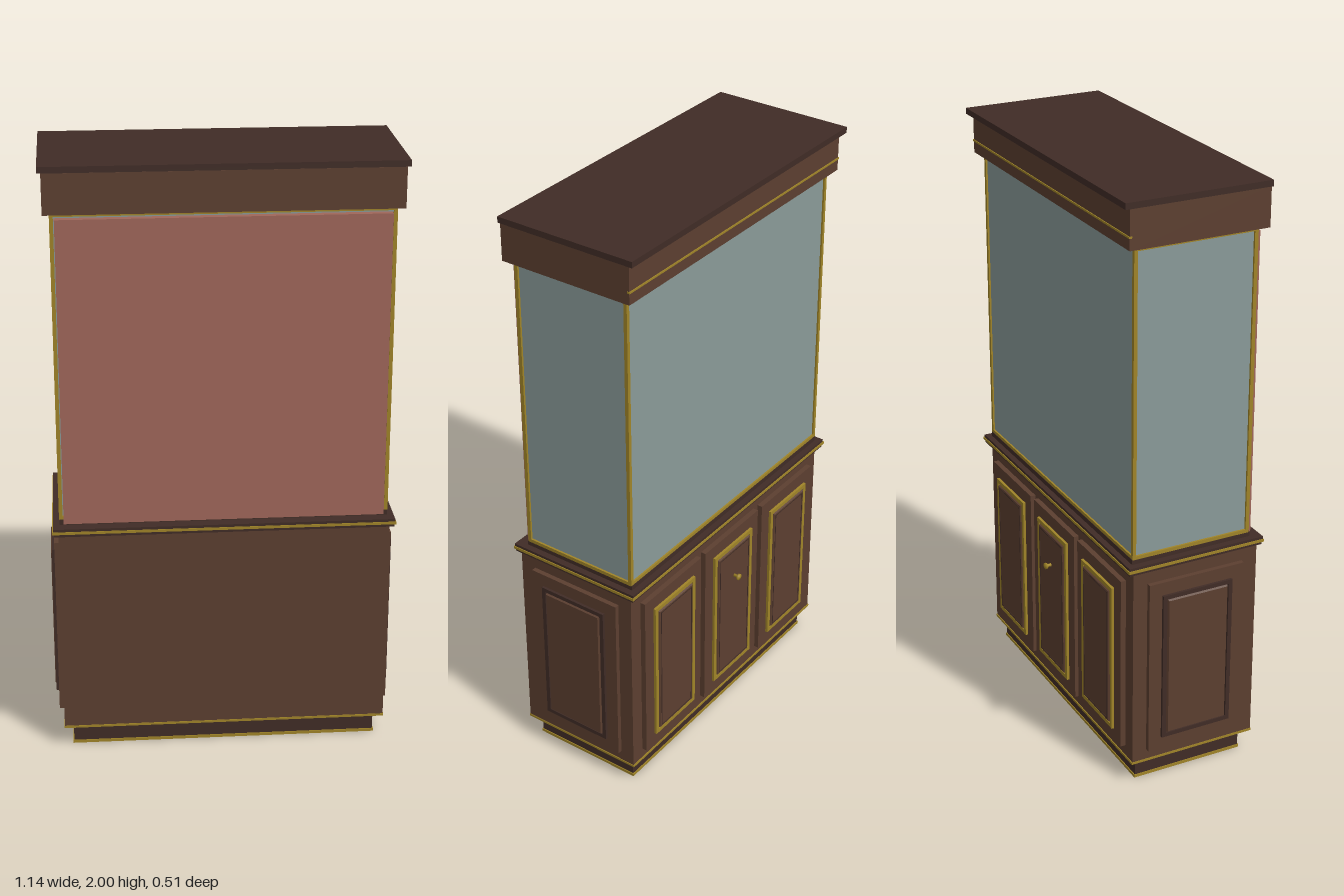
import * as THREE from 'three';

const mat = (color) => new THREE.MeshStandardMaterial({ color });

export function createModel() {
  const root = new THREE.Group();
  root.name = 'displayCabinet';
  const wood = mat(0x5c3f30), dark = mat(0x402c26), gold = mat(0xa08428);
  const glass = mat(0x8a9b99), red = mat(0xa0675a);

  // Box given by its limits on each axis
  const box = (name, x0, x1, y0, y1, z0, z1, material, parent = root) => {
    const m = new THREE.Mesh(new THREE.BoxGeometry(x1 - x0, y1 - y0, z1 - z0), material);
    m.position.set((x0 + x1) / 2, (y0 + y1) / 2, (z0 + z1) / 2);
    m.name = name;
    parent.add(m);
    return m;
  };
  // Box centred on x
  const slab = (name, hx, y0, y1, z0, z1, material) => box(name, -hx, hx, y0, y1, z0, z1, material);

  // Rectangular ring in the xy plane, extruded along +z
  const ring = (name, w, h, t, depth, material, parent) => {
    const rect = (P, a, b) => new P([
      new THREE.Vector2(-a, -b), new THREE.Vector2(a, -b),
      new THREE.Vector2(a, b), new THREE.Vector2(-a, b)]);
    const s = rect(THREE.Shape, w / 2, h / 2);
    s.holes.push(rect(THREE.Path, w / 2 - t, h / 2 - t));
    const m = new THREE.Mesh(
      new THREE.ExtrudeGeometry(s, { depth, bevelEnabled: false }), material);
    m.name = name;
    parent.add(m);
    return m;
  };

  // Plinth with brass edges
  slab('plinth', 0.51, 0.008, 0.08, -0.18, 0.21, dark);
  slab('plinthFoot', 0.513, 0, 0.01, -0.183, 0.213, gold);
  slab('lowerTrim', 0.542, 0.075, 0.083, -0.208, 0.242, gold);

  // Cupboard body and ledge
  slab('body', 0.54, 0.08, 0.79, -0.205, 0.24, wood);
  slab('ledgeBottom', 0.555, 0.785, 0.795, -0.225, 0.25, dark);
  slab('ledgeTrim', 0.56, 0.795, 0.804, -0.23, 0.255, gold);
  slab('ledgeTop', 0.557, 0.804, 0.813, -0.227, 0.253, dark);
  slab('ledgeStep', 0.535, 0.813, 0.83, -0.207, 0.215, dark);

  // Framed panel lying in xy, facing +z: slab, raised field, bevelled centre
  const panel = (name, w, trim) => {
    const g = new THREE.Group();
    g.name = name;
    const h = 0.615, iw = w - 0.09, ih = h - 0.09;
    box('panelSlab', -w / 2, w / 2, -h / 2, h / 2, -0.005, 0.018, wood, g);
    ring('panelMoulding', iw, ih, 0.014, 0.011, trim ? gold : dark, g).position.z = 0.016;
    const field = box('raisedField', -iw / 2 + 0.008, iw / 2 - 0.008,
      -ih / 2 + 0.008, ih / 2 - 0.008, 0.01, 0.03, wood, g);
    // Taper the outer face of the field
    const p = field.geometry.attributes.position;
    for (let i = 0; i < p.count; i++) {
      if (p.getZ(i) > 0) {
        p.setX(i, p.getX(i) - Math.sign(p.getX(i)) * 0.012);
        p.setY(i, p.getY(i) - Math.sign(p.getY(i)) * 0.012);
      }
    }
    field.geometry = field.geometry.toNonIndexed();
    field.geometry.computeVertexNormals();
    if (trim) ring('fieldInlay', iw - 0.05, ih - 0.05, 0.003, 0.001, dark, g).position.z = 0.03;
    root.add(g);
    return g;
  };

  // Three doors and the side panels
  for (const i of [-1, 0, 1]) {
    const door = panel('door', 0.31, true);
    door.position.set(i * 0.335, 0.4275, -0.205);
    door.rotation.y = Math.PI;
  }
  for (const s of [-1, 1]) {
    const side = panel('sidePanel', 0.34, false);
    side.position.set(s * 0.538, 0.4275, 0.015);
    side.rotation.y = s * Math.PI / 2;
  }

  // Door knob
  const knob = new THREE.Mesh(new THREE.LatheGeometry([
    [0, 0], [0.006, 0], [0.005, 0.012], [0.011, 0.018], [0.011, 0.024], [0, 0.027],
  ].map(([x, y]) => new THREE.Vector2(x, y)), 16), gold);
  knob.name = 'knob';
  knob.rotation.x = -Math.PI / 2;
  knob.position.set(0, 0.56, -0.233);
  root.add(knob);

  // Glass case with coloured rear board
  slab('frontGlass', 0.528, 0.83, 1.84, -0.2, -0.194, glass);
  slab('rearGlass', 0.528, 0.83, 1.84, 0.196, 0.202, glass);
  for (const s of [-1, 1]) {
    const a = s * 0.524, b = s * 0.53;
    box('sideGlass', Math.min(a, b), Math.max(a, b), 0.83, 1.84, -0.2, 0.202, glass);
  }
  slab('rearBoard', 0.522, 0.82, 1.832, 0.2, 0.226, red);

  // Brass posts and rails
  for (const s of [-1, 1]) {
    for (const z of [-0.2, 0.205]) {
      box('cornerPost', s * 0.531 - 0.006, s * 0.531 + 0.006, 0.83, 1.85, z - 0.006, z + 0.006, gold);
    }
  }
  for (const y of [0.835, 1.844]) {
    const r = ring('brassRail', 1.074, 0.417, 0.012, 0.012, gold, root);
    r.rotation.x = -Math.PI / 2;
    r.position.set(0, y - 0.006, 0.0025);
  }

  // Cornice and top
  slab('cornice', 0.558, 1.85, 1.98, -0.232, 0.238, wood);
  slab('corniceTrim', 0.56, 1.888, 1.894, -0.235, -0.225, gold);
  slab('top', 0.57, 1.98, 2, -0.252, 0.237, dark);
  return root;
}
